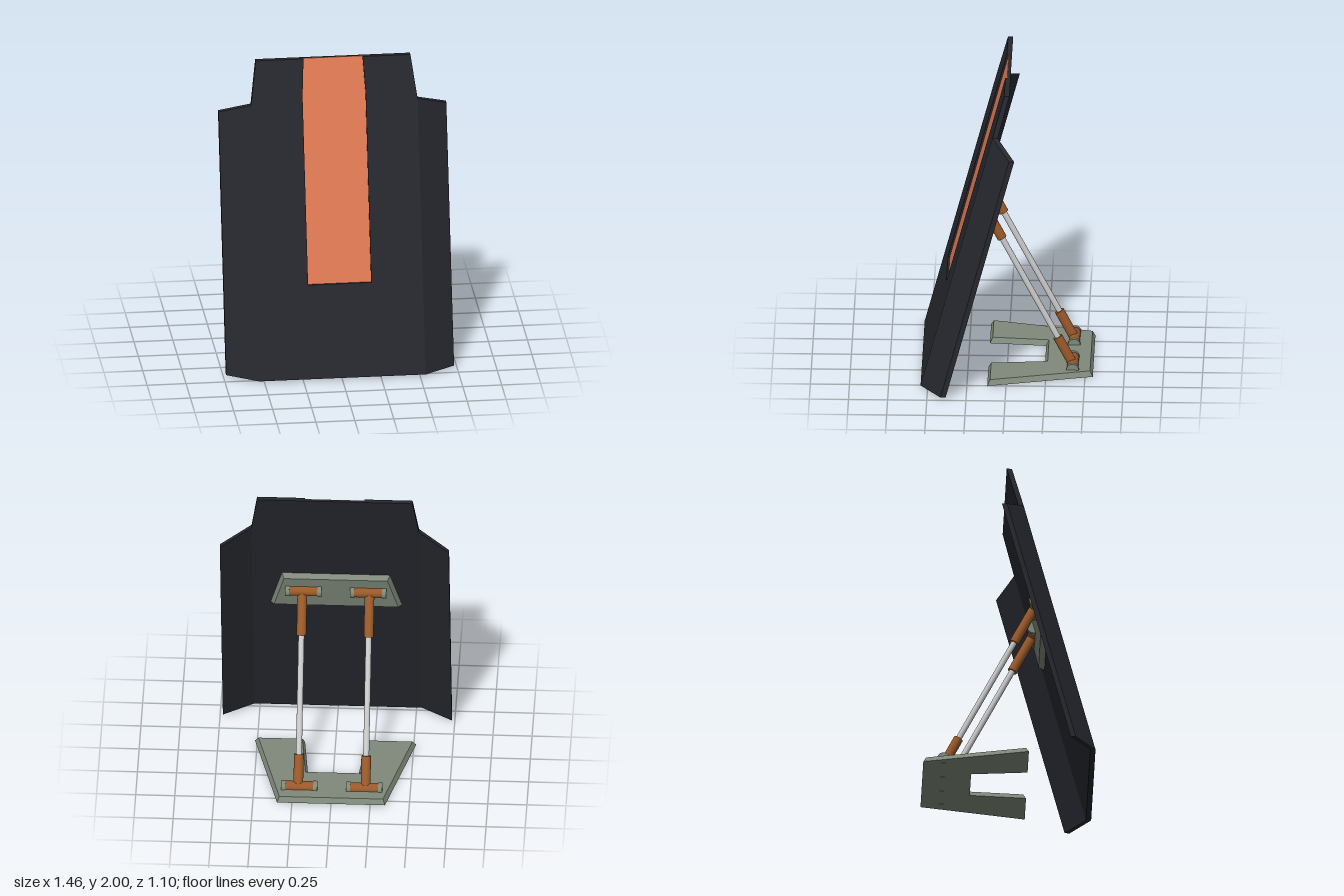
import * as THREE from 'three';

const TILT = THREE.MathUtils.degToRad(15);
const LEAN = Math.tan(TILT);
const mat = (color) => new THREE.MeshStandardMaterial({ color });
const dark = mat(0x26282e), orange = mat(0xe07a55), brown = mat(0x9a5a2a);
const sage = mat(0x7f897b), metal = mat(0xcccccc);

const v2 = (list) => list.map(([x, y]) => new THREE.Vector2(x, y));
const mirrored = (half) => [...half, ...half.map(([x, y]) => [-x, y]).reverse()];

function add(parent, name, geometry, material) {
  const mesh = new THREE.Mesh(geometry, material);
  mesh.name = name;
  parent.add(mesh);
  return mesh;
}

// Sheet between two depths behind the shield's front face, leaned back and folded at the wings
function sheet(points, front, back) {
  const g = new THREE.ExtrudeGeometry(new THREE.Shape(v2(points)), { depth: back - front, bevelEnabled: false });
  const p = g.attributes.position;
  for (let i = 0; i < p.count; i++) {
    const fold = Math.max(0, Math.abs(p.getX(i)) - 0.535) * 0.667;
    p.setZ(i, p.getZ(i) + 0.545 - back - fold - LEAN * (p.getY(i) - 0.01));
  }
  g.computeVertexNormals();
  return g;
}

// Outline moved inwards by d (counter-clockwise points)
function inset(points, d) {
  const n = points.length;
  return points.map((p, i) => {
    const a = p.clone().sub(points[(i + n - 1) % n]).normalize();
    const b = points[(i + 1) % n].clone().sub(p).normalize();
    const k = d / (1 + a.dot(b));
    return new THREE.Vector2(p.x - (a.y + b.y) * k, p.y + (a.x + b.x) * k);
  });
}

// Plate whose outer face is smaller than its mounting face
function bevelledPlate(list, depth, bevel) {
  const outer = v2(list), inner = inset(outer, bevel);
  const g = new THREE.ExtrudeGeometry(new THREE.Shape(outer), { depth, bevelEnabled: false });
  const p = g.attributes.position;
  for (let i = 0; i < p.count; i++) {
    if (p.getZ(i) < depth / 2) continue;
    const k = outer.findIndex((o) => Math.hypot(o.x - p.getX(i), o.y - p.getY(i)) < 1e-4);
    p.setXY(i, inner[k].x, inner[k].y);
  }
  g.computeVertexNormals();
  return g;
}

// Cylinder between two points
function rod(parent, name, a, b, radius, material) {
  const mesh = add(parent, name, new THREE.CylinderGeometry(radius, radius, a.distanceTo(b), 24), material);
  mesh.position.lerpVectors(a, b, 0.5);
  mesh.quaternion.setFromUnitVectors(new THREE.Vector3(0, 1, 0), b.clone().sub(a).normalize());
}

// Mounting plate with two hinges; local z points away from the mounted surface, y = 0 is the hinge line
function mount(name, outline) {
  const group = new THREE.Group();
  group.name = name;
  add(group, name + 'Plate', bevelledPlate(outline, 0.035, 0.018), sage);
  for (const s of [-1, 1]) {
    const at = (x) => new THREE.Vector3(s * x, 0, 0.036);
    rod(group, 'hingeBarrel', at(0.115), at(0.3), 0.036, brown);
    rod(group, 'hingeCap', at(0.092), at(0.118), 0.04, sage);
    rod(group, 'hingeCap', at(0.297), at(0.323), 0.04, sage);
  }
  return group;
}

export function createModel() {
  const model = new THREE.Group();

  // Shield: backing sheet, front sheet with a slot open at the top, coloured inlay
  const shield = new THREE.Group();
  shield.name = 'shield';
  model.add(shield);
  const edge = [[0.535, 0.01], [0.535, 1.725], [0.497, 2]];
  const slot = [[0.19, 2], [0.203, 1.77], [0.203, 0.595]];
  add(shield, 'backSheet', sheet(mirrored(edge), 0.015, 0.033), dark);
  add(shield, 'frontSheet', sheet(mirrored([...edge, ...slot]), 0, 0.015), dark);
  add(shield, 'inlayStripe', sheet(mirrored([...slot].reverse()), 0.012, 0.015), orange);

  // Side wings folded backwards
  for (const s of [-1, 1]) {
    const wing = [[0.535, 0.01], [0.732, 0.01], [0.732, 1.645], [0.535, 1.725]].map(([x, y]) => [s * x, y]);
    add(shield, s > 0 ? 'leftWing' : 'rightWing', sheet(wing, 0, 0.033), dark);
  }

  // Notched foot on the ground
  const foot = mount('foot', mirrored([[0.195, -0.54], [0.515, -0.54], [0.345, 0.13]].concat([]))
    .concat([[-0.16, -0.18], [0.16, -0.18]]));
  foot.rotation.x = -Math.PI / 2;
  foot.position.set(0, 0.002, -0.42);
  model.add(foot);

  // Matching bracket on the back of the shield
  const bracket = mount('bracket', mirrored([[0.42, -0.165], [0.345, 0.13]]));
  bracket.rotation.set(-TILT, Math.PI, 0);
  bracket.position.set(0, 1.17, 0.512 - LEAN * 1.16);
  model.add(bracket);

  // Two support struts with sleeves at both ends
  for (const s of [-1, 1]) {
    const strut = new THREE.Group();
    strut.name = s > 0 ? 'leftStrut' : 'rightStrut';
    model.add(strut);
    const low = new THREE.Vector3(s * 0.215, 0.038, -0.42);
    const high = new THREE.Vector3(s * 0.215, 1.161, 0.167);
    const length = low.distanceTo(high);
    const along = (d) => low.clone().lerp(high, d / length);
    rod(strut, 'lowerSleeve', low, along(0.21), 0.031, brown);
    rod(strut, 'strutRod', along(0.19), along(length - 0.27), 0.019, metal);
    rod(strut, 'upperSleeve', along(length - 0.29), high, 0.031, brown);
  }

  return model;
}
